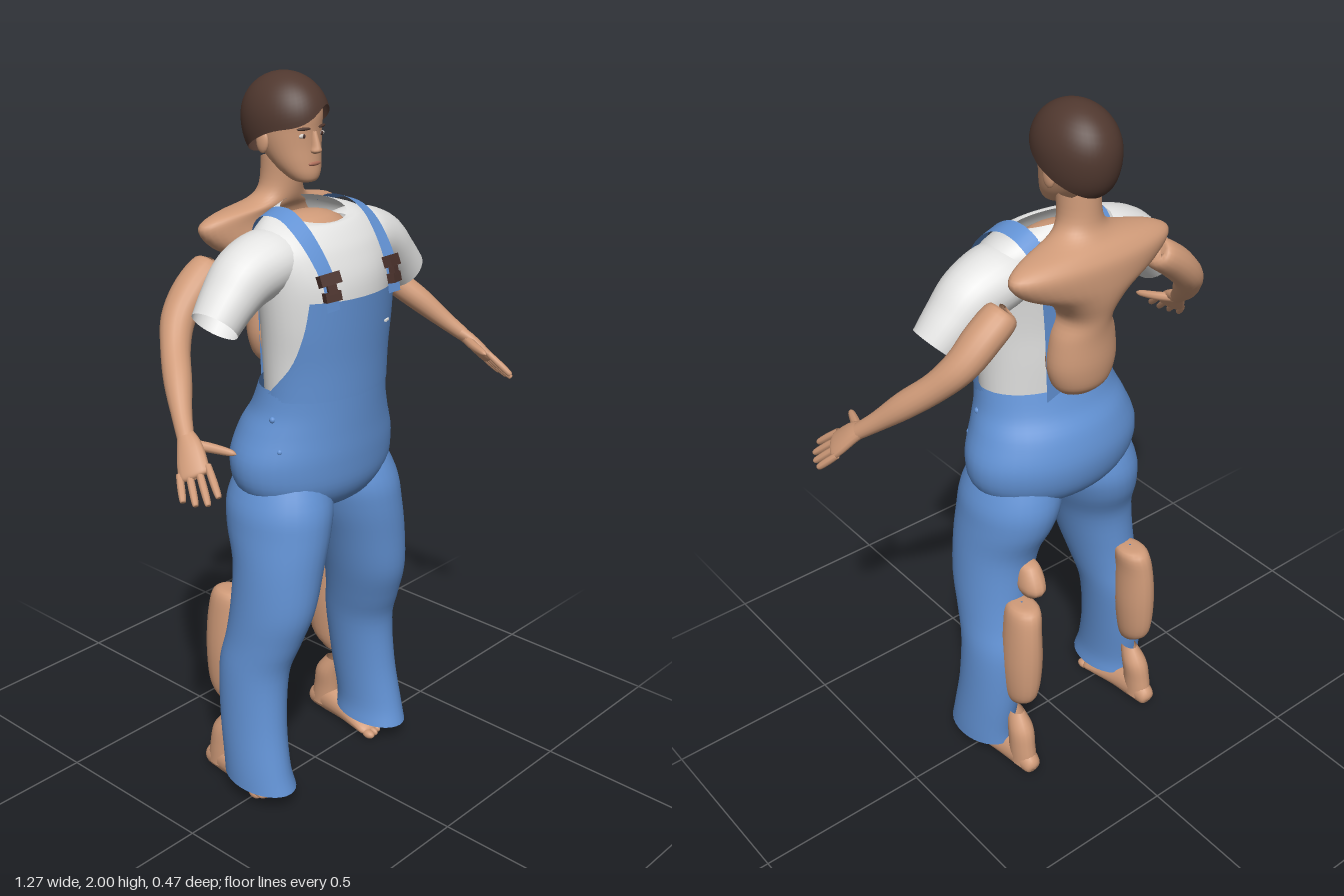
import * as THREE from 'three';
import { mergeVertices } from 'three/addons/utils/BufferGeometryUtils.js';

const mat = (name, color, open) =>
  new THREE.MeshStandardMaterial({ name, color, side: open ? THREE.DoubleSide : THREE.FrontSide });

// Smooth surface from a function of u (around) and v (along)
function grid(nu, nv, fn) {
  const pos = [], idx = [];
  for (let j = 0; j <= nv; j++) for (let i = 0; i <= nu; i++) pos.push(...fn(i / nu, j / nv));
  for (let j = 0; j < nv; j++) for (let i = 0; i < nu; i++) {
    const a = j * (nu + 1) + i, b = a + 1, d = a + nu + 1, c = d + 1;
    idx.push(a, b, c, a, c, d);
  }
  let g = new THREE.BufferGeometry();
  g.setAttribute('position', new THREE.Float32BufferAttribute(pos, 3));
  g.setIndex(idx);
  g = mergeVertices(g, 1e-5);
  g.computeVertexNormals();
  return g;
}

// Spline through rows of equally many numbers
function rowAt(rows, t) {
  const n = rows.length - 1, f = Math.min(Math.max(t, 0), 1) * n;
  const i = Math.min(Math.floor(f), n - 1), k = f - i;
  const p = rows[Math.max(i - 1, 0)], q = rows[i], r = rows[i + 1], s = rows[Math.min(i + 2, n)];
  return q.map((_, c) => q[c] + 0.5 * k * (r[c] - p[c] +
    k * (2 * p[c] - 5 * q[c] + 4 * r[c] - s[c] + k * (3 * (q[c] - r[c]) + s[c] - p[c]))));
}

// Horizontal elliptical rings, bottom to top: [x, y, z, rx, rz, optional tilt]
function rings(rows, nu = 32, s = 1) {
  const full = rows.map(([x, y, z, rx, rz, tilt = 0]) => [s * x, y, z, rx, rz, tilt]);
  return grid(nu, rows.length * 4, (u, v) => {
    const [x, y, z, rx, rz, tilt] = rowAt(full, v), a = u * Math.PI * 2;
    return [x + Math.sin(a) * rx, y + tilt * Math.cos(a), z + Math.cos(a) * rz];
  });
}

// Tube along a path: [x, y, z, radius along ref, radius across]
function limb(rows, s = 1, ref = [0, 0, 1], nu = 14) {
  const R = new THREE.Vector3(s * ref[0], ref[1], ref[2]);
  const path = rows.map(([x, ...rest]) => [s * x, ...rest]);
  return grid(nu, rows.length * 4, (u, v) => {
    const [x, y, z, r1, r2] = rowAt(path, v), a = u * Math.PI * 2;
    const p = rowAt(path, v - 0.01), q = rowAt(path, v + 0.01);
    const T = new THREE.Vector3(q[0] - p[0], q[1] - p[1], q[2] - p[2]).normalize();
    const e1 = R.clone().addScaledVector(T, -R.dot(T)).normalize();
    const e2 = T.clone().cross(e1);
    return new THREE.Vector3(x, y, z).addScaledVector(e1, Math.cos(a) * r1)
      .addScaledVector(e2, Math.sin(a) * r2).toArray();
  });
}

export function createModel() {
  const root = new THREE.Group();
  root.name = 'workerInOveralls';
  const skin = mat('skin', 0xd09b79, true), shirt = mat('shirt', 0xe3e3e2, true);
  const denim = mat('denim', 0x6292d4, true), hair = mat('hair', 0x50382f, true);
  const clasp = mat('clasp', 0x4b322c), lip = mat('lip', 0xb0705c), eye = mat('eye', 0xd8cfc8);
  const add = (name, geo, m, pos = [0, 0, 0], scale = [1, 1, 1], rot = [0, 0, 0]) => {
    const mesh = new THREE.Mesh(geo, m);
    mesh.name = name;
    mesh.position.set(...pos);
    mesh.scale.set(...scale);
    mesh.rotation.set(...rot);
    root.add(mesh);
  };
  const ball = new THREE.SphereGeometry(1, 16, 10), box = new THREE.BoxGeometry(1, 1, 1);

  // Head and face
  add('head', rings([
    [0, 1.726, -0.035, 0.004, 0.004], [0, 1.732, -0.036, 0.03, 0.03], [0, 1.75, -0.048, 0.048, 0.05],
    [0, 1.78, -0.068, 0.064, 0.069], [0, 1.82, -0.088, 0.076, 0.086], [0, 1.86, -0.1, 0.083, 0.098],
    [0, 1.91, -0.105, 0.086, 0.104], [0, 1.955, -0.105, 0.07, 0.085], [0, 1.985, -0.105, 0.004, 0.004]]), skin);
  add('nose', rings([
    [0, 1.803, 0, 0.005, 0.004], [0, 1.81, 0.002, 0.015, 0.016], [0, 1.825, 0, 0.011, 0.016],
    [0, 1.86, -0.006, 0.007, 0.009]], 12), skin);
  add('mouth', ball, lip, [0, 1.778, -0.002], [0.022, 0.006, 0.006]);
  for (const s of [-1, 1]) {
    add('eye', ball, eye, [s * 0.033, 1.85, -0.012], [0.014, 0.006, 0.005]);
    add('iris', ball, clasp, [s * 0.033, 1.85, -0.008], [0.005, 0.0055, 0.003]);
    add('brow', ball, hair, [s * 0.034, 1.868, -0.008], [0.02, 0.004, 0.005], [0, s * 0.35, 0]);
    add('ear', ball, skin, [s * 0.083, 1.832, -0.105], [0.01, 0.03, 0.02]);
  }

  // Cropped hair with a swept fringe
  add('hair', grid(48, 16, (u, v) => {
    const a = u * Math.PI * 2, c = Math.cos(a), s = Math.sin(a);
    const low = 1.845 + 0.06 * c + 0.03 * Math.max(0, c) ** 2 * Math.sin(a * 2 + 0.3);
    const phi = Math.acos((low - 1.885) / 0.115) * (1 - v);
    const w = phi > Math.PI / 2 ? Math.sqrt(Math.sin(phi)) : Math.sin(phi);
    return [0.1 * w * s, 1.885 + 0.115 * Math.cos(phi), -0.104 + 0.127 * w * c];
  }), hair);

  // Neck, shoulders and back, set behind the clothes
  add('upperBody', rings([
    [0, 1.23, -0.125, 0.06, 0.045], [0, 1.26, -0.13, 0.085, 0.065], [0, 1.32, -0.132, 0.1, 0.075],
    [0, 1.4, -0.135, 0.09, 0.075], [0, 1.46, -0.14, 0.07, 0.08], [0, 1.52, -0.15, 0.12, 0.085],
    [0, 1.57, -0.16, 0.21, 0.08], [0, 1.62, -0.165, 0.25, 0.072], [0, 1.65, -0.155, 0.21, 0.065],
    [0, 1.675, -0.135, 0.1, 0.06], [0, 1.71, -0.122, 0.06, 0.056], [0, 1.78, -0.115, 0.055, 0.058]], 40), skin);
  add('upperChest', ball, skin, [0, 1.595, -0.03], [0.13, 0.06, 0.09]);

  // Shirt body with a dipped neckline
  add('shirtBody', rings([
    [0, 1.19, 0.03, 0.185, 0.125], [0, 1.3, 0.03, 0.19, 0.13], [0, 1.4, 0.033, 0.2, 0.134],
    [0, 1.5, 0.027, 0.212, 0.135], [0, 1.57, 0.012, 0.222, 0.125], [0, 1.615, 0, 0.205, 0.112, -0.005],
    [0, 1.65, -0.005, 0.155, 0.09, -0.012], [0, 1.662, -0.005, 0.1, 0.072, -0.022]], 40), shirt);

  // Overalls: hips, bib, fittings
  add('overallHips', rings([
    [0, 0.85, 0, 0.06, 0.05], [0, 0.885, -0.005, 0.18, 0.125], [0, 0.94, -0.01, 0.248, 0.165],
    [0, 1.02, -0.013, 0.262, 0.177], [0, 1.1, -0.003, 0.234, 0.168], [0, 1.16, 0.015, 0.21, 0.151],
    [0, 1.225, 0.028, 0.199, 0.139]], 40), denim);
  const bibRows = [[1.2, 0.2, 0.14, 1.75], [1.29, 0.203, 0.143, 1.2],
    [1.38, 0.212, 0.149, 0.95], [1.47, 0.215, 0.155, 0.86]];
  add('bib', grid(32, 12, (u, v) => {
    const [y, rx, rz, span] = rowAt(bibRows, v), a = (u * 2 - 1) * span;
    return [rx * Math.sin(a), y, 0.03 + rz * Math.cos(a)];
  }), denim);
  add('pocketTag', box, shirt, [0.095, 1.378, 0.166], [0.022, 0.005, 0.006], [0, 0.35, 0]);

  const strapPath = [[0.118, 1.45, 0.168], [0.12, 1.52, 0.153], [0.126, 1.59, 0.112], [0.13, 1.645, 0.06],
    [0.125, 1.672, 0], [0.12, 1.66, -0.07], [0.1, 1.59, -0.115], [0.08, 1.45, -0.116], [0.07, 1.21, -0.115]];

  for (const s of [-1, 1]) {
    // Straps and clasps
    add('strap', grid(2, 36, (u, v) => {
      const [x, y, z] = rowAt(strapPath, v);
      const off = (u - 0.5) * 0.046;
      return [s * x + off, y - s * off * 0.35 * Math.min(1, v * 3), z + 0.004];
    }), denim);
    add('claspLower', box, clasp, [s * 0.12, 1.488, 0.168], [0.045, 0.025, 0.02], [-0.25, s * 0.3, 0]);
    add('claspUpper', box, clasp, [s * 0.12, 1.53, 0.157], [0.058, 0.03, 0.022], [-0.4, s * 0.3, 0]);
    add('claspStem', box, clasp, [s * 0.12, 1.508, 0.164], [0.026, 0.03, 0.018], [-0.3, s * 0.3, 0]);
    for (const [x, y, z] of [[0.206, 1.15, 0.04], [0.212, 1.07, 0.07]])
      add('hipButton', ball, denim, [s * x, y, z], [0.009, 0.009, 0.009]);

    // Sleeve
    add('sleeve', limb([
      [0.1, 1.57, -0.005, 0.09, 0.06], [0.17, 1.558, -0.008, 0.098, 0.082], [0.25, 1.53, -0.01, 0.088, 0.082],
      [0.31, 1.483, -0.008, 0.076, 0.07], [0.362, 1.43, -0.003, 0.064, 0.062]], s, [0, 0, 1], 28), shirt);

    // Arm
    add('arm', limb([
      [0.245, 1.54, -0.135, 0.004, 0.004], [0.25, 1.535, -0.135, 0.045, 0.04], [0.31, 1.49, -0.135, 0.052, 0.045],
      [0.37, 1.43, -0.125, 0.046, 0.042], [0.42, 1.37, -0.085, 0.038, 0.038], [0.47, 1.31, -0.025, 0.036, 0.034],
      [0.515, 1.25, 0.035, 0.026, 0.025], [0.545, 1.21, 0.08, 0.022, 0.019]], s, [0, 0, 1], 18), skin);

    // Hand with fingers and thumb
    const across = [-0.55, 0.35, 0.75];
    add('palm', limb([
      [0.537, 1.22, 0.068, 0.02, 0.018], [0.553, 1.195, 0.1, 0.033, 0.018], [0.573, 1.16, 0.132, 0.04, 0.016],
      [0.582, 1.143, 0.148, 0.036, 0.012], [0.584, 1.139, 0.152, 0.002, 0.002]], s, across), skin);
    for (let i = 0; i < 4; i++) {
      const o = i - 1.5, len = [0.8, 1, 1.08, 0.95][i];
      const at = (k, r) => [0.576 + 0.034 * k - 0.014 * o * (1 + 0.3 * k), 1.155 - 0.06 * k + 0.009 * o,
        0.137 + 0.062 * k + 0.018 * o * (1 + 0.2 * k), r, r];
      add('finger', limb([at(0, 0.009), at(0.5 * len, 0.01), at(0.95 * len, 0.008), at(len, 0.001)],
        s, across, 8), skin);
    }
    add('thumb', limb([[0.545, 1.2, 0.09, 0.014, 0.014], [0.52, 1.195, 0.135, 0.013, 0.013],
      [0.5, 1.19, 0.185, 0.009, 0.009], [0.495, 1.188, 0.2, 0.001, 0.001]], s, [0, 1, 0], 8), skin);

    // Trouser leg, open at the hem
    add('trouserLeg', rings([
      [0.24, 0.06, 0.01, 0.079, 0.118, -0.006], [0.243, 0.12, 0, 0.075, 0.11], [0.235, 0.25, -0.02, 0.077, 0.108],
      [0.222, 0.4, -0.026, 0.084, 0.11], [0.206, 0.5, -0.002, 0.09, 0.118], [0.19, 0.6, 0.018, 0.1, 0.13],
      [0.17, 0.72, 0.02, 0.112, 0.136], [0.148, 0.82, 0.002, 0.125, 0.156], [0.134, 0.9, -0.006, 0.128, 0.156],
      [0.12, 1, -0.01, 0.1, 0.12]], 32, s), denim);

    // Calf showing behind the trousers
    add('calf', rings([
      [0.215, 0.24, -0.12, 0.02, 0.03], [0.215, 0.29, -0.14, 0.04, 0.058], [0.212, 0.4, -0.142, 0.05, 0.07],
      [0.208, 0.52, -0.14, 0.046, 0.068], [0.2, 0.59, -0.135, 0.04, 0.055], [0.2, 0.6, -0.13, 0.003, 0.003]],
      18, s), skin);

    // Bare foot
    add('ankle', rings([
      [0.225, 0.03, -0.16, 0.034, 0.05], [0.225, 0.09, -0.155, 0.034, 0.045], [0.222, 0.15, -0.145, 0.034, 0.042],
      [0.22, 0.2, -0.12, 0.02, 0.03]], 16, s), skin);
    add('foot', limb([
      [0.225, 0.03, -0.215, 0.003, 0.003], [0.225, 0.033, -0.205, 0.028, 0.025], [0.225, 0.046, -0.15, 0.046, 0.034],
      [0.225, 0.041, -0.08, 0.041, 0.041], [0.224, 0.027, 0, 0.027, 0.051], [0.222, 0.017, 0.04, 0.017, 0.048],
      [0.222, 0.015, 0.05, 0.002, 0.01]], s, [0, 1, 0], 18), skin);
    for (let i = 0; i < 5; i++)
      add('toe', ball, skin, [s * (0.186 + i * 0.02), 0.013, 0.05 - i * i * 0.0025],
        [i ? 0.01 : 0.014, 0.013, 0.021]);
  }

  // Back of the left knee
  add('kneeBack', rings([
    [0.17, 0.61, -0.12, 0.015, 0.03], [0.165, 0.645, -0.125, 0.035, 0.055], [0.16, 0.7, -0.11, 0.028, 0.035],
    [0.16, 0.715, -0.1, 0.004, 0.004]], 12), skin);
  return root;
}
